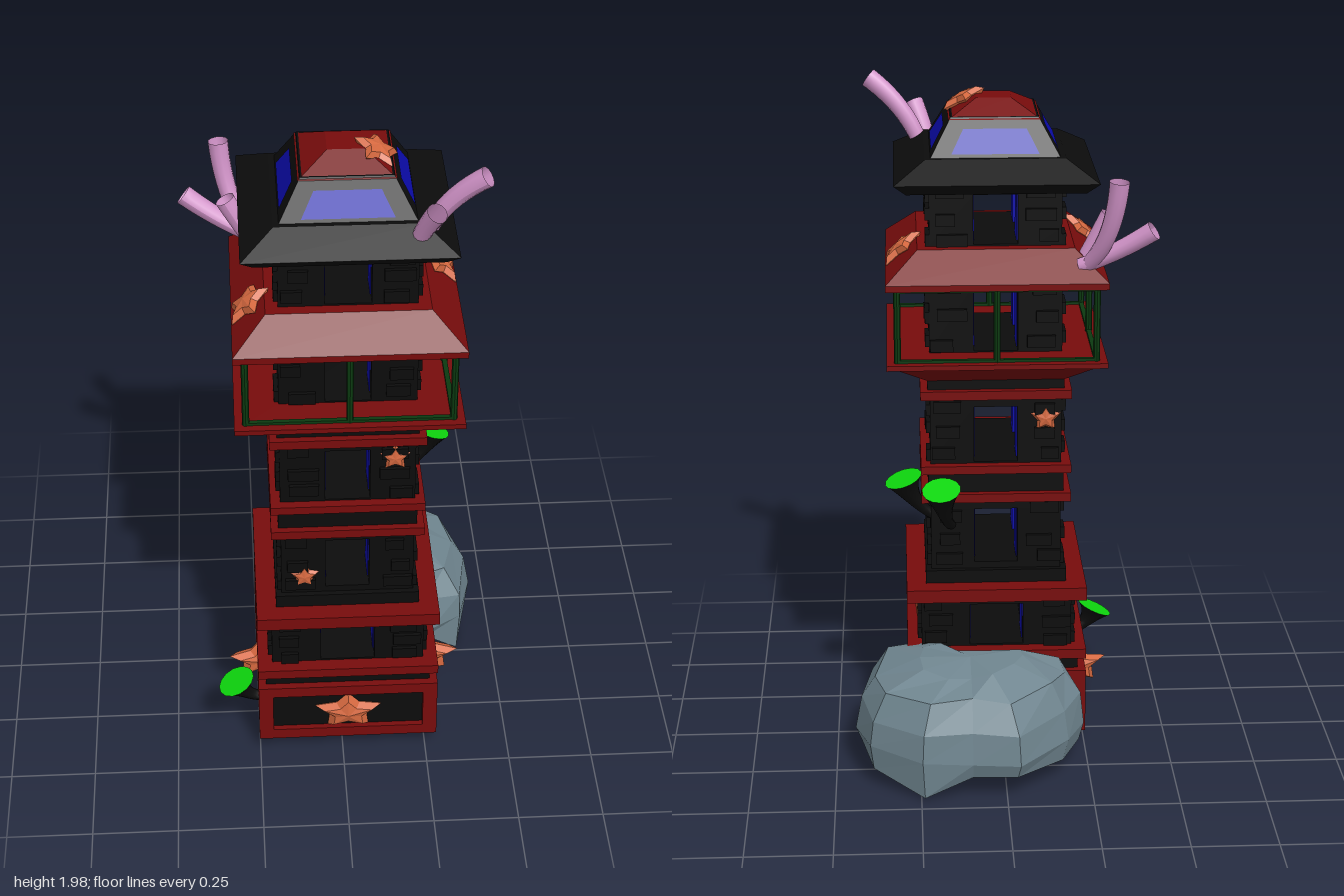
import * as THREE from 'three';
import { mergeGeometries } from 'three/addons/utils/BufferGeometryUtils.js';

const mat = (color, flatShading = true, side = THREE.FrontSide) =>
  new THREE.MeshStandardMaterial({ color, flatShading, side });
const black = mat(0x0c0c0c), red = mat(0x780c0c), blue = mat(0x0c0cae), orange = mat(0xd5683f);
const postGreen = mat(0x0b3a10), lime = mat(0x0ed60e, true, THREE.DoubleSide);
const panelBlack = mat(0x0c0c0c, true, THREE.DoubleSide), blueGlass = mat(0x0c0cae, true, THREE.DoubleSide);
const stem = mat(0x0c0c0c, false, THREE.DoubleSide), pink = mat(0xd193c8, false, THREE.DoubleSide);
const stone = mat(0x708690, true, THREE.DoubleSide);
const V = (x, y, z) => new THREE.Vector3(x, y, z);

let seed = 7;
const rnd = () => (seed = (seed * 16807) % 2147483647) / 2147483647;

function add(parent, name, geo, material, x = 0, y = 0, z = 0) {
  const m = new THREE.Mesh(geo, material);
  m.name = name;
  m.position.set(x, y, z);
  parent.add(m);
  return m;
}

// Square slab or frustum, given half widths at bottom and top
function slab(parent, name, material, y0, y1, h0, h1 = h0) {
  const g = new THREE.CylinderGeometry(h1 * Math.SQRT2, h0 * Math.SQRT2, y1 - y0, 4).rotateY(Math.PI / 4);
  return add(parent, name, g, material, 0, (y0 + y1) / 2, 0);
}

// Run a builder for each of the four faces, in a group turned to that face
function fourSides(parent, name, build) {
  for (let i = 0; i < 4; i++) {
    const g = new THREE.Group();
    g.name = name;
    g.rotation.y = i * Math.PI / 2;
    build(g, i);
    parent.add(g);
  }
}

// Storey: four corner piers with blue-lined passages between them, plus sill, lintel and bricks
function storey(parent, y0, y1, w0, w1, half, win, sideDoors = true) {
  slab(parent, 'sill', black, y0, w0, half);
  slab(parent, 'lintel', black, w1, y1, half);
  const h = w1 - w0, y = (w0 + w1) / 2, p = half - win, c = (half + win) / 2;
  for (const sx of [-1, 1]) {
    for (const sz of [-1, 1]) {
      add(parent, 'pier', new THREE.BoxGeometry(p, h, p), black, sx * c, y, sz * c);
      const q = p - 0.04, o = win + q / 2 - 0.003;
      add(parent, 'windowLining', new THREE.BoxGeometry(q, h, q), blue, sx * o, y, sz * o);
    }
    if (!sideDoors) add(parent, 'sideWall', new THREE.BoxGeometry(p, h, win * 2), black, sx * c, y, 0);
  }
  const bricks = [];
  for (let f = 0; f < 4; f++) for (const s of [-1, 1]) for (let r = 0; r < 3; r++) {
    const w = 0.05 + rnd() * 0.04;
    bricks.push(new THREE.BoxGeometry(w, 0.035, 0.024)
      .translate(s * (half - w / 2 - rnd() * 0.03), y0 + (y1 - y0) * (r + 0.3 + rnd() * 0.4) / 3, half)
      .rotateY(f * Math.PI / 2));
  }
  add(parent, 'bricks', mergeGeometries(bricks), black);
}

// Puffy five-pointed star, facing direction n
function star(parent, pos, n, r, squash = 1) {
  const g = new THREE.SphereGeometry(1, 10, 4), a = g.attributes.position;
  for (let i = 0; i < a.count; i++) {
    const k = Math.round(Math.atan2(a.getZ(i), -a.getX(i)) / (Math.PI / 5));
    const s = k % 2 ? 0.56 : 1;
    a.setXYZ(i, a.getX(i) * s, a.getY(i) * 0.3, a.getZ(i) * s);
  }
  g.rotateY(-Math.PI / 10).rotateX(Math.PI / 2);
  const m = add(parent, 'starfish', g, orange, pos.x, pos.y, pos.z);
  m.scale.set(r, r * squash, r);
  m.lookAt(pos.clone().add(n));
}

// Open tube along a bent path whose radius follows a rule
function sweep(parent, name, material, pts, radius, n = 10, sides = 12) {
  const curve = new THREE.QuadraticBezierCurve3(...pts);
  const g = new THREE.TubeGeometry(curve, n, 1, sides), a = g.attributes.position, v = V(0, 0, 0);
  for (let i = 0; i < a.count; i++) {
    const t = Math.floor(i / (sides + 1)) / n, c = curve.getPointAt(t);
    v.fromBufferAttribute(a, i).sub(c).multiplyScalar(radius(t)).add(c);
    a.setXYZ(i, v.x, v.y, v.z);
  }
  g.computeVertexNormals();
  add(parent, name, g, material);
  return curve;
}

function trumpet(parent, ...pts) {
  const c = sweep(parent, 'trumpetStem', stem, pts, t => 0.016 + 0.04 * t ** 3);
  const lid = add(parent, 'trumpetCap', new THREE.CircleGeometry(0.057, 14), lime, ...pts[2].toArray());
  lid.lookAt(pts[2].clone().add(c.getTangent(1)));
}

// Rock shell: rings scaled in from an outline, with a ragged open bottom
function rock(parent) {
  const outline = [[.445, -.2], [.41, 0], [.3, .03], [.2, -.09], [.05, -.09], [-.12, -.1], [-.23, -.11],
    [-.25, -.2], [-.19, -.33], [-.04, -.475], [.1, -.46], [.25, -.47], [.41, -.36]];
  const rings = [[0.93, 0.06], [1, 0.15], [0.96, 0.24], [0.82, 0.32], [0.45, 0.36], [0.001, 0.37]];
  const n = outline.length, pos = [], idx = [];
  rings.forEach(([s, y], j) => outline.forEach(([x, z]) => {
    const k = j > 0 && j < 5 ? s * (1 - rnd() * 0.05) : s;
    pos.push(0.1 + (x - 0.1) * k, y + (j === 0 ? (rnd() - 0.5) * 0.09 : j < 5 ? (rnd() - 0.5) * 0.025 : 0),
      -0.21 + (z + 0.21) * k);
  }));
  for (let j = 0; j < rings.length - 1; j++) for (let i = 0; i < n; i++) {
    const a = j * n + i, b = j * n + (i + 1) % n;
    idx.push(a, a + n, b, b, a + n, b + n);
  }
  const g = new THREE.BufferGeometry();
  g.setAttribute('position', new THREE.Float32BufferAttribute(pos, 3));
  g.setIndex(idx);
  g.computeVertexNormals();
  add(parent, 'rock', g, stone);
}

export function createModel() {
  const model = new THREE.Group(), tower = new THREE.Group();
  model.name = 'sunkenPagoda';
  tower.name = 'tower';
  tower.position.set(0.016, 0, 0.156);
  model.add(tower);

  // Hollow base: framed panels, each with a star
  fourSides(tower, 'baseSide', g => {
    const s = new THREE.Shape([[-.268, .07], [.268, .07], [.268, .27], [-.268, .27]].map(p => new THREE.Vector2(...p)));
    s.holes.push(new THREE.Path([[-.225, .105], [-.225, .235], [.225, .235], [.225, .105]].map(p => new THREE.Vector2(...p))));
    add(g, 'baseFrame', new THREE.ExtrudeGeometry(s, { depth: 0.03, bevelEnabled: false }), red, 0, 0, 0.238);
    add(g, 'basePanel', new THREE.PlaneGeometry(0.46, 0.14), panelBlack, 0, 0.17, 0.25);
    star(g, V(0, 0.165, 0.255), V(0, 0, 1), 0.105, 0.65);
  });
  slab(tower, 'baseTop', black, 0.262, 0.31, 0.245);

  // Storeys and the red bands between them
  storey(tower, 0.335, 0.505, 0.345, 0.475, 0.225, 0.08, false);
  storey(tower, 0.57, 0.8, 0.6, 0.77, 0.193, 0.064);
  storey(tower, 0.91, 1.12, 0.92, 1.09, 0.193, 0.064);
  storey(tower, 1.25, 1.48, 1.262, 1.46, 0.193, 0.064);
  storey(tower, 1.57, 1.76, 1.58, 1.725, 0.19, 0.064);
  for (const [y0, y1, h] of [[.31, .34, .268], [.5, .54, .268], [.8, .827, .221], [.89, .915, .221], [1.12, 1.147, .221]])
    slab(tower, 'band', red, y0, y1, h);
  for (const [y0, y1, h] of [[.54, .58, .21], [.827, .89, .2], [1.147, 1.18, .2]])
    slab(tower, 'collar', black, y0, y1, h);

  // Balcony with posts and rails under a red skirt roof
  slab(tower, 'balconyFlare', red, 1.175, 1.245, 0.2, 0.3);
  slab(tower, 'balconyRim', red, 1.243, 1.258, 0.317);
  slab(tower, 'skirtRim', red, 1.476, 1.495, 0.317);
  slab(tower, 'skirtRoof', red, 1.495, 1.575, 0.317, 0.225);
  fourSides(tower, 'balconySide', g => {
    for (const x of [0, 0.285])
      add(g, 'post', new THREE.CylinderGeometry(0.01, 0.01, 0.22, 8), postGreen, x, 1.367, 0.285);
    for (const y of [1.26, 1.472])
      add(g, 'rail', new THREE.BoxGeometry(0.58, 0.012, 0.014), postGreen, 0, y, 0.285);
  });

  // Black top roof, lantern with slanted windows, red cap
  slab(tower, 'eaves', black, 1.742, 1.775, 0.255, 0.29);
  slab(tower, 'topRoof', black, 1.775, 1.83, 0.29, 0.2);
  slab(tower, 'lantern', black, 1.82, 1.935, 0.19, 0.125);
  slab(tower, 'cap', red, 1.928, 1.975, 0.132, 0.05);
  fourSides(tower, 'lanternWindowSide', g => {
    const s = new THREE.Shape([[-.125, 0], [.125, 0], [.09, .075], [-.09, .075]].map(p => new THREE.Vector2(...p)));
    add(g, 'lanternWindow', new THREE.ShapeGeometry(s), blueGlass, 0, 1.84, 0.182).rotation.x = -0.515;
  });

  // Stars scattered over walls and roofs
  star(model, V(0.15, 1.065, 0.352), V(0, 0, 1), 0.046);
  star(model, V(-0.11, 0.645, 0.352), V(0, 0, 1), 0.046);
  star(model, V(-0.13, 1.055, -0.04), V(0, 0, -1), 0.046);
  star(model, V(0.244, 0.44, 0.015), V(1, 0, 0), 0.048);
  star(model, V(0.285, 1.54, 0.085), V(0.66, 0.75, 0), 0.075);
  star(model, V(-0.253, 1.54, 0.27), V(-0.66, 0.75, 0), 0.075);
  star(model, V(0.1, 1.958, 0.185), V(0.45, 0.88, 0.1), 0.07);

  // Trumpet-shaped growths
  trumpet(model, V(0.15, 0.72, -0.03), V(0.17, 0.76, -0.12), V(0.18, 0.878, -0.16));
  trumpet(model, V(0.19, 0.74, -0.01), V(0.26, 0.78, -0.03), V(0.29, 0.872, -0.042));
  trumpet(model, V(-0.24, 0.19, 0.36), V(-0.29, 0.2, 0.37), V(-0.318, 0.262, 0.375));

  // Tube corals
  for (const [a, b, c] of [
    [V(.22, 1.78, .34), V(.26, 1.9, .35), V(.375, 1.982, .385)],
    [V(.2, 1.79, .37), V(.215, 1.84, .39), V(.242, 1.9, .425)],
    [V(-.24, 1.53, -.1), V(-.31, 1.62, -.17), V(-.322, 1.795, -.185)],
    [V(-.22, 1.53, -.1), V(-.32, 1.57, -.12), V(-.425, 1.645, -.148)],
    [V(-.23, 1.53, -.06), V(-.27, 1.6, -.062), V(-.308, 1.672, -.068)],
  ]) sweep(model, 'tubeCoral', pink, [a, b, c], t => 0.023 + 0.006 * t);

  rock(model);
  return model;
}
